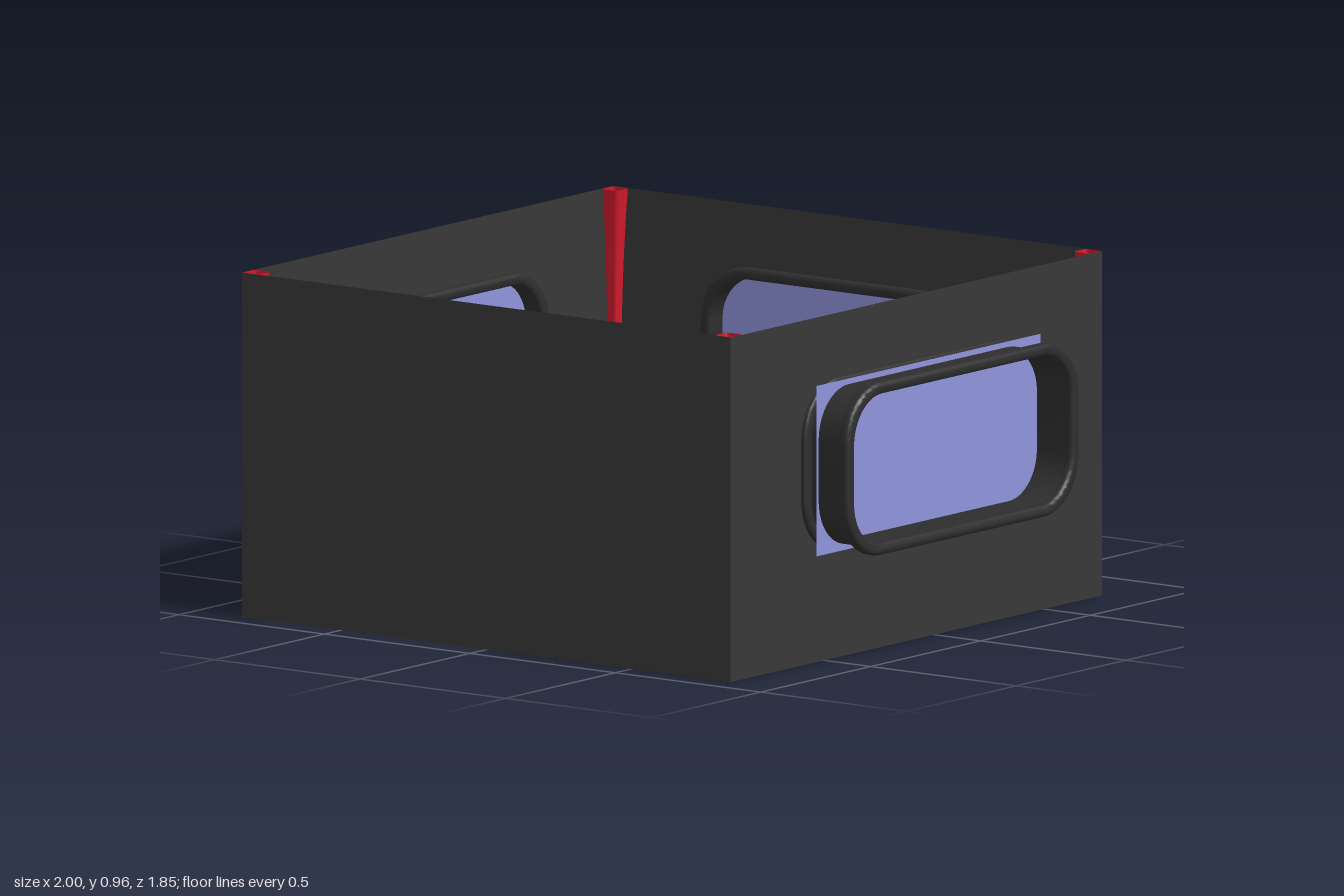
import * as THREE from 'three';
import { toCreasedNormals } from 'three/addons/utils/BufferGeometryUtils.js';

const W = 0.84, H = 0.96, BACK = -0.765, FRONT = 0.925;
const MID_Z = (BACK + FRONT) / 2, WIN_Y = 0.543;

const paint = (color) => new THREE.MeshStandardMaterial({ color, side: THREE.DoubleSide });
const wallMat = paint(0x383838), frameMat = paint(0x2e2e2e);
const glassMat = paint(0x8f95dc), postMat = paint(0xd01a2a);

function mesh(name, geometry, material) {
  const m = new THREE.Mesh(geometry, material);
  m.name = name;
  return m;
}

// rounded rectangle with half sizes a, b and corner radius r
function roundRect(a, b, r, y = 0, Type = THREE.Shape) {
  const s = new Type();
  s.absarc(a - r, y + b - r, r, 0, Math.PI / 2);
  s.absarc(-a + r, y + b - r, r, Math.PI / 2, Math.PI);
  s.absarc(-a + r, y - b + r, r, Math.PI, Math.PI * 1.5);
  s.absarc(a - r, y - b + r, r, Math.PI * 1.5, Math.PI * 2);
  s.closePath();
  return s;
}

// hollow rounded frame from z0 to z1, with an optional rounded edge
function frame(name, outer, inner, z0, z1, bevel) {
  const shape = roundRect(outer[0] - bevel, outer[1] - bevel, outer[2] - bevel);
  shape.holes.push(roundRect(inner[0] + bevel, inner[1] + bevel, inner[2] + bevel, 0, THREE.Path));
  const geo = new THREE.ExtrudeGeometry(shape, {
    depth: z1 - z0 - 2 * bevel, curveSegments: 14,
    bevelEnabled: bevel > 0, bevelSize: bevel, bevelThickness: bevel, bevelSegments: 4,
  });
  geo.translate(0, 0, z0 + bevel);
  return mesh(name, toCreasedNormals(geo, 0.7), frameMat);
}

// window: two rims joined by a sleeve, with a pane behind the outer rim
function makeWindow() {
  const g = new THREE.Group();
  g.name = 'window';
  const outer = [0.53, 0.241, 0.16], inner = [0.493, 0.208, 0.128];
  g.add(frame('innerRim', outer, inner, -0.02, 0.015, 0.011));
  g.add(frame('outerRim', outer, inner, 0.125, 0.16, 0.011));
  g.add(frame('sleeve', [0.5, 0.222, 0.138], inner, 0.005, 0.135, 0));
  const pane = mesh('glass', new THREE.PlaneGeometry(1.02, 0.475), glassMat);
  pane.position.z = 0.038;
  g.add(pane);
  g.position.y = WIN_Y;
  return g;
}

// thin wall facing +z; the window may sit off centre
function makeWall(name, width, windowX = null) {
  const g = new THREE.Group();
  g.name = name;
  const h = width / 2;
  const shape = new THREE.Shape([[-h, 0], [h, 0], [h, H], [-h, H]].map((p) => new THREE.Vector2(...p)));
  if (windowX !== null) {
    const hole = roundRect(0.5, 0.217, 0.135, WIN_Y, THREE.Path).getPoints(14);
    shape.holes.push(new THREE.Path(hole.map((p) => p.setX(p.x + windowX))));
    const win = makeWindow();
    win.position.x = windowX;
    g.add(win);
  }
  g.add(mesh(name + 'Panel', new THREE.ShapeGeometry(shape), wallMat));
  return g;
}

// open corner post: a rounded square tube, pinched at mid height towards the corner
function makePost(sx, sz) {
  const shape = roundRect(0.5, 0.5, 0.22);
  const ring = shape.getPoints(5);
  const rows = 16, n = ring.length, pos = [], idx = [];
  for (let j = 0; j <= rows; j++) {
    const t = j / rows, size = 0.032 + 0.024 * Math.pow(Math.abs(2 * t - 1), 2);
    for (const p of ring) pos.push(-sx * (p.x + 0.5) * size, t * H, -sz * (p.y + 0.5) * size);
  }
  for (let j = 0; j < rows; j++) {
    for (let i = 0; i < n; i++) {
      const a = j * n + i, b = j * n + (i + 1) % n;
      if (sx * sz > 0) idx.push(a, a + n, b, b, a + n, b + n);
      else idx.push(a, b, a + n, b, b + n, a + n);
    }
  }
  const geo = new THREE.BufferGeometry();
  geo.setAttribute('position', new THREE.Float32BufferAttribute(pos, 3));
  geo.setIndex(idx);
  geo.computeVertexNormals();
  const post = mesh('cornerPost', geo, postMat);
  post.position.set(sx * (W - 0.001), 0, sz > 0 ? FRONT - 0.001 : BACK + 0.001);
  return post;
}

export function createModel() {
  const model = new THREE.Group();
  model.name = 'windowedEnclosure';

  const front = makeWall('frontWall', 2 * W);
  front.position.z = FRONT;
  const back = makeWall('backWall', 2 * W, 0);
  back.position.z = BACK;
  back.rotation.y = Math.PI;
  model.add(front, back);

  // side walls, windows slightly behind... centred on z = 0.075
  for (const s of [1, -1]) {
    const side = makeWall(s > 0 ? 'leftWall' : 'rightWall', FRONT - BACK, -s * (0.075 - MID_Z));
    side.position.set(s * W, 0, MID_Z);
    side.rotation.y = s * Math.PI / 2;
    model.add(side);
    for (const z of [1, -1]) model.add(makePost(s, z));
  }
  return model;
}
